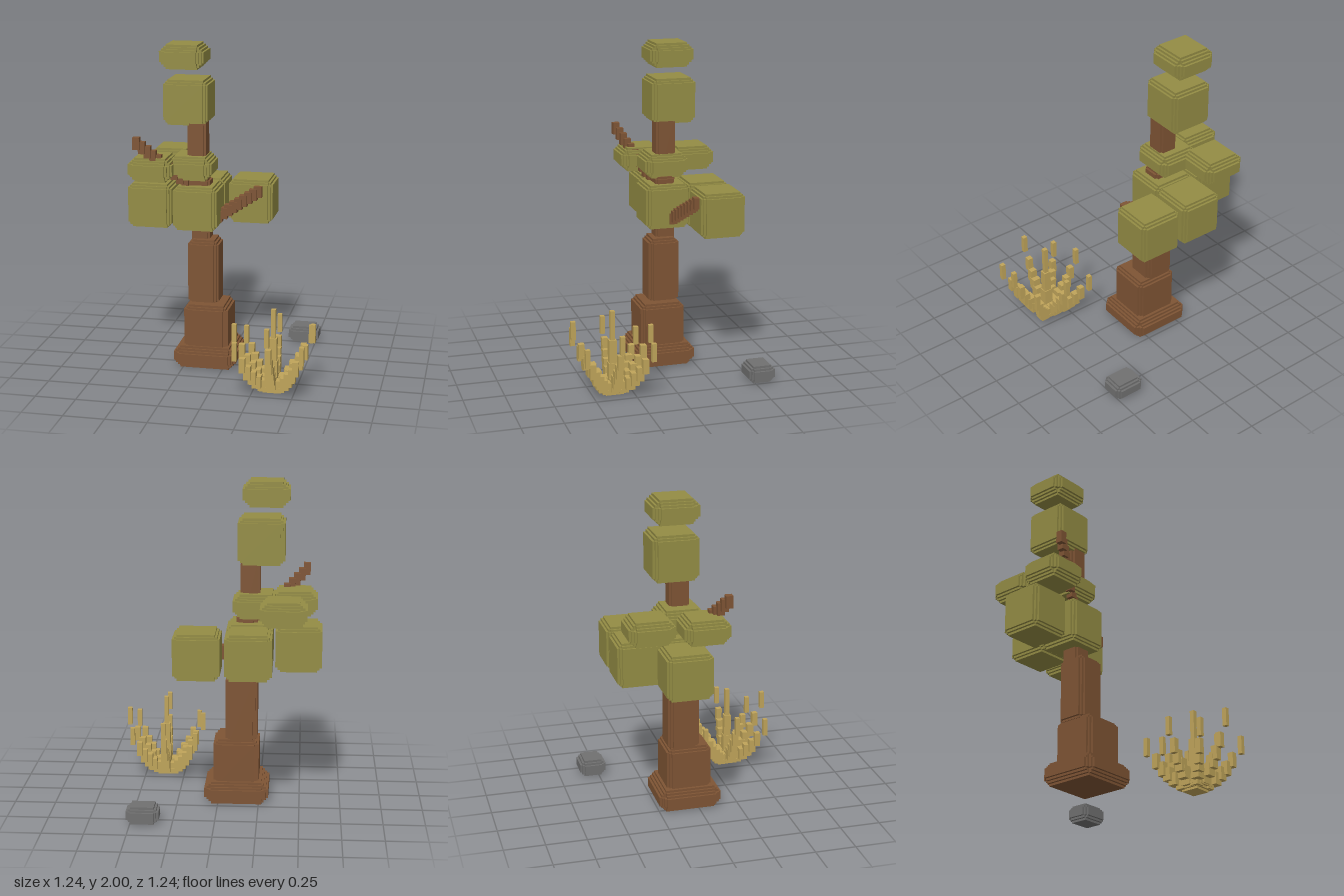
import * as THREE from 'three';
import { mergeGeometries } from 'three/addons/utils/BufferGeometryUtils.js';

const STEP = 0.0138; // size of one voxel stair

const mat = (name, color) => new THREE.MeshStandardMaterial({ name, color });

// Box geometry between two corners
function box(a, b) {
  return new THREE.BoxGeometry(b[0] - a[0], b[1] - a[1], b[2] - a[2])
    .translate((a[0] + b[0]) / 2, (a[1] + b[1]) / 2, (a[2] + b[2]) / 2);
}

// Block whose edges are cut back in n voxel stairs: a union of inset boxes
function steppedBlock(a, b, n = 2) {
  const parts = [];
  for (let i = 0; i <= n; i++) {
    for (let axis = 0; axis < 3; axis++) {
      const inset = [0, 0, 0];
      inset[axis] = n;
      inset[(axis + 1) % 3] = i;
      inset[(axis + 2) % 3] = n - i;
      parts.push(box(a.map((v, k) => v + inset[k] * STEP), b.map((v, k) => v - inset[k] * STEP)));
    }
  }
  return mergeGeometries(parts);
}

// Upright box around a centre point
function post(x, y, z, w, h) {
  return box([x - w / 2, y - h / 2, z - w / 2], [x + w / 2, y + h / 2, z + w / 2]);
}

// Slanted branch made from a row of overlapping posts
function branch(from, to, count, w, h) {
  const a = new THREE.Vector3(...from), b = new THREE.Vector3(...to), parts = [];
  for (let i = 0; i < count; i++) {
    const p = a.clone().lerp(b, i / (count - 1));
    parts.push(post(p.x, p.y, p.z, w, h));
  }
  return mergeGeometries(parts);
}

export function createModel() {
  const model = new THREE.Group();
  model.name = 'treeWithGrassAndStone';
  const bark = mat('bark brown', 0x7e5434);
  const leaf = mat('leaf olive', 0x938c44);
  const straw = mat('straw yellow', 0xbfa45a);
  const rock = mat('stone grey', 0x707070);

  const add = (name, geometry, material, parent = model) => {
    const mesh = new THREE.Mesh(geometry, material);
    mesh.name = name;
    parent.add(mesh);
  };

  // Trunk, from the flared foot upwards
  const trunk = new THREE.Group();
  trunk.name = 'trunk';
  model.add(trunk);
  [
    ['trunkFoot', [-0.31, 0, -0.25], [0.083, 0.14, 0.14], 3],
    ['trunkLower', [-0.25, 0.1, -0.192], [0.028, 0.4, 0.087], 2],
    ['trunkMiddle', [-0.24, 0.38, -0.18], [-0.045, 0.8, 0.014], 2],
    ['trunkUpper', [-0.225, 0.77, -0.165], [-0.11, 1.18, -0.045], 1],
    ['trunkTop', [-0.252, 1.14, -0.177], [-0.135, 1.54, -0.055], 1],
  ].forEach(([name, a, b, n]) => add(name, steppedBlock(a, b, n), bark, trunk));

  // Branches
  add('leftBranch', branch([-0.13, 0.89, -0.12], [0.165, 1.075, -0.222], 11, 0.05, 0.07), bark);
  add('rightBranch', branch([-0.2, 1.1, -0.08], [-0.53, 1.42, 0.1], 12, 0.042, 0.075), bark);

  // Leaf blocks: lower tall ring, flat middle ring, crown
  const foliage = new THREE.Group();
  foliage.name = 'foliage';
  model.add(foliage);
  const L = 0.278;
  const leafBlock = (name, x, y, z, h, n) =>
    add(name, steppedBlock([x, y, z], [x + L, y + h, z + L], n), leaf, foliage);
  [[-0.625, -0.283], [-0.332, -0.25], [-0.332, -0.508], [-0.028, -0.508]]
    .forEach(([x, z]) => leafBlock('lowerLeaves', x, 0.86, z, L, 2));
  [[-0.597, -0.168], [-0.368, -0.258], [-0.535, -0.48]]
    .forEach(([x, z]) => leafBlock('middleLeaves', x, 1.172, z, 0.15, 3));
  leafBlock('crownLeaves', -0.4, 1.51, -0.308, L, 2);
  leafBlock('topLeaves', -0.427, 1.85, -0.308, 0.15, 3);

  // Dry grass tuft: base, centre blade and eight arching blades
  const grass = new THREE.Group();
  grass.name = 'grassTuft';
  grass.position.set(0.367, 0, 0.367);
  model.add(grass);
  add('grassBase', steppedBlock([-0.082, 0, -0.082], [0.082, 0.07, 0.082], 2), straw, grass);
  add('centreBlade', mergeGeometries([
    post(0, 0.12, 0, 0.055, 0.14), post(0, 0.25, 0, 0.045, 0.16), post(0, 0.41, 0, 0.028, 0.2),
  ]), straw, grass);
  const profile = [ // outward share, height share, width, height
    [0.26, 0.17, 0.055, 0.07], [0.42, 0.27, 0.055, 0.075], [0.54, 0.38, 0.05, 0.08],
    [0.67, 0.5, 0.042, 0.085], [0.8, 0.68, 0.036, 0.09], [1, 1, 0.028, 0.112],
  ];
  const tips = [0.375, 0.3, 0.41, 0.3, 0.345, 0.27, 0.345, 0.3];
  tips.forEach((tip, i) => {
    const angle = (i * Math.PI) / 4;
    const reach = i % 2 ? 0.282 : 0.238;
    const parts = profile.map(([r, y, w, h]) =>
      post(Math.cos(angle) * reach * r, tip * y, Math.sin(angle) * reach * r, w, h));
    add('grassBlade', mergeGeometries(parts), straw, grass);
  });

  // Small stone
  add('stone', steppedBlock([0.327, 0.005, -0.622], [0.522, 0.112, -0.456], 2), rock);

  return model;
}
